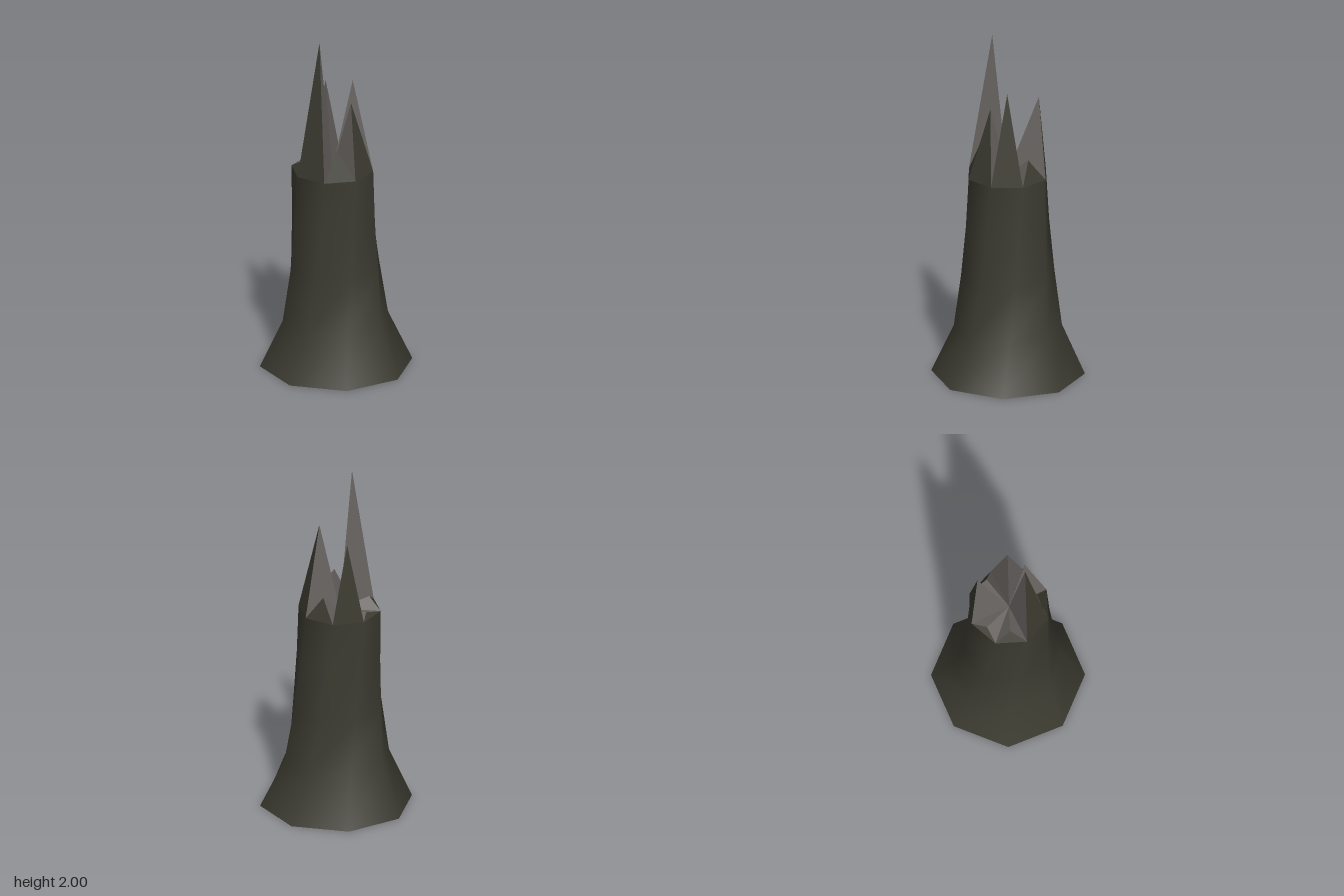
import * as THREE from 'three';

const SIDES = 8;

// Rings of the trunk, bottom to top: height, radius, twist in degrees, lean
const RINGS = [
  [0, 0.436, 14.7, 0],
  [0.285, 0.306, 9.5, 0.003],
  [0.6, 0.268, 1.5, 0.006],
  [0.9, 0.245, -5, 0.011],
  [1.19, 0.236, -11, 0.016],
];

// Splinter tips, one above each side of the top ring
const TIPS = [
  [0.11, 1.62, 0.045],
  [0.067, 1.365, 0.15],
  [-0.045, 2, 0.138],
  [-0.16, 1.25, 0.108],
  [-0.192, 1.21, -0.025],
  [-0.117, 1.66, -0.132],
  [0.02, 1.32, -0.152],
  [0.082, 1.72, -0.05],
];

function ringPoint([y, r, twist, lean], i) {
  const a = THREE.MathUtils.degToRad(twist + (i * 360) / SIDES);
  return [r * Math.cos(a) - lean, y, r * Math.sin(a) + lean];
}

function makeGeometry(points, index) {
  const g = new THREE.BufferGeometry();
  g.setAttribute('position', new THREE.Float32BufferAttribute(points.flat(), 3));
  if (index) g.setIndex(index);
  g.computeVertexNormals();
  return g;
}

function addMesh(group, name, geometry, material) {
  const mesh = new THREE.Mesh(geometry, material);
  mesh.name = name;
  group.add(mesh);
}

export function createModel() {
  const group = new THREE.Group();
  group.name = 'brokenStump';
  const bark = new THREE.MeshStandardMaterial({ color: 0x3c3b31, side: THREE.DoubleSide });
  bark.name = 'bark';
  const wood = new THREE.MeshStandardMaterial({ color: 0x6a6562, side: THREE.DoubleSide });
  wood.name = 'brokenWood';

  // Smooth hollow trunk, flared at the foot and open underneath
  const points = [];
  const index = [];
  RINGS.forEach((ring, k) => {
    for (let i = 0; i < SIDES; i++) {
      points.push(ringPoint(ring, i));
      if (k === RINGS.length - 1) continue;
      const a = k * SIDES + i;
      const b = k * SIDES + ((i + 1) % SIDES);
      index.push(a, a + SIDES, b, b, a + SIDES, b + SIDES);
    }
  });
  addMesh(group, 'trunk', makeGeometry(points, index), bark);

  // Splinters: bark outside, pale wood falling to the core inside
  const top = RINGS[RINGS.length - 1];
  const core = [-0.016, 1.19, 0.016];
  const outer = [];
  const inner = [];
  TIPS.forEach((tip, i) => {
    const a = ringPoint(top, i);
    const b = ringPoint(top, i + 1);
    outer.push(a, tip, b);
    inner.push(core, tip, a, core, b, tip);
  });
  addMesh(group, 'splinterBark', makeGeometry(outer), bark);
  addMesh(group, 'splinterWood', makeGeometry(inner), wood);

  return group;
}
